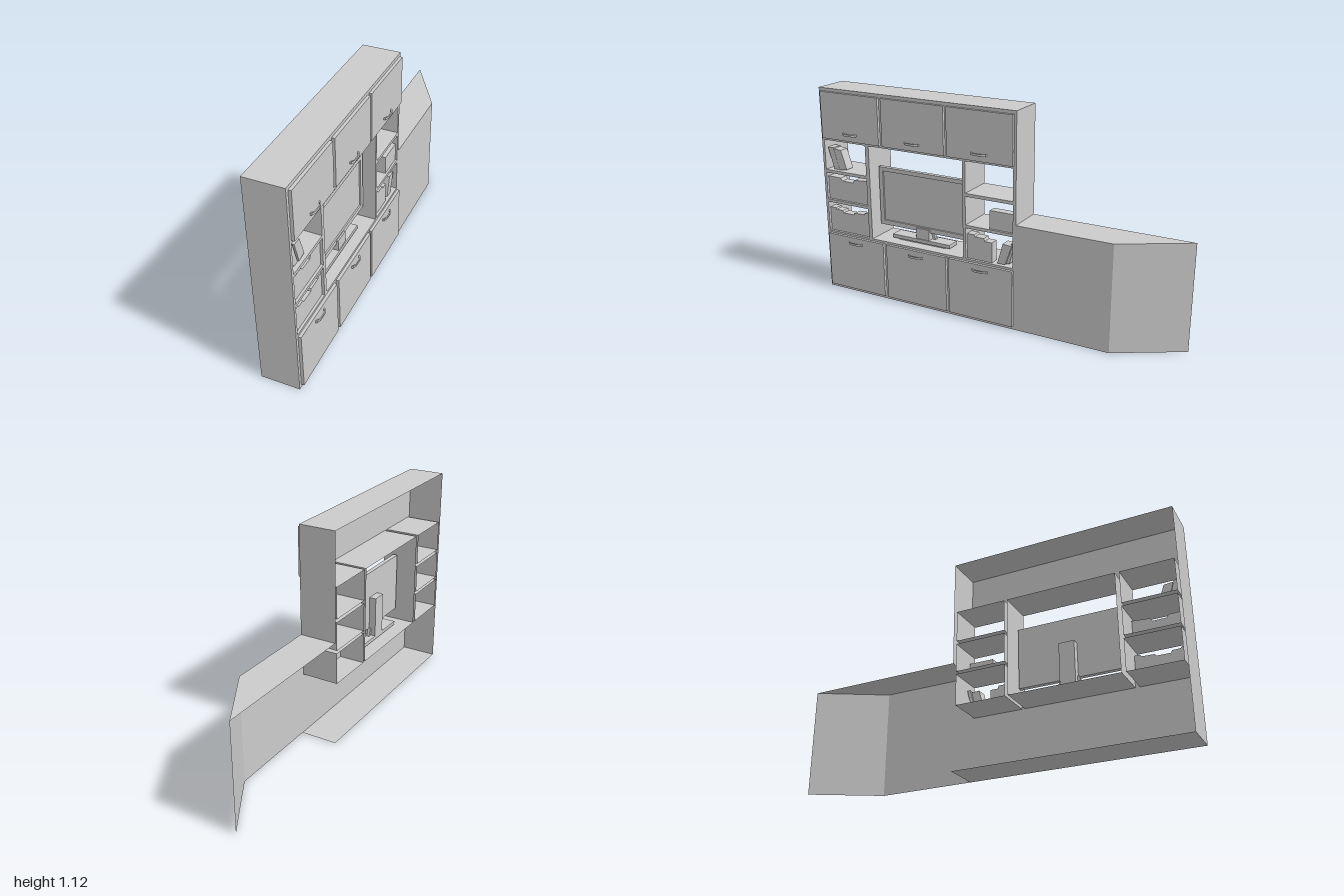
import * as THREE from 'three';

const BACK = -0.115, FRONT = 0.08, TOP = 1.125, WING = 0.56;

export function createModel() {
  const root = new THREE.Group();
  const solid = new THREE.MeshStandardMaterial({ color: 0xcccccc, flatShading: true });
  const thin = new THREE.MeshStandardMaterial({ color: 0xcccccc, flatShading: true, side: THREE.DoubleSide });

  const add = (name, geometry, material = solid) => {
    const mesh = new THREE.Mesh(geometry, material);
    mesh.name = name;
    root.add(mesh);
    return mesh;
  };
  // block given by its limits on each axis
  const block = (name, x0, x1, y0, y1, z0, z1) => {
    const g = new THREE.BoxGeometry(x1 - x0, y1 - y0, z1 - z0);
    g.translate((x0 + x1) / 2, (y0 + y1) / 2, (z0 + z1) / 2);
    return add(name, g);
  };
  // thin sheet through four corners
  const sheet = (name, ...corners) => {
    const g = new THREE.BufferGeometry();
    g.setAttribute('position', new THREE.Float32BufferAttribute(corners.flat(), 3));
    g.setIndex([0, 1, 2, 0, 2, 3]);
    g.computeVertexNormals();
    return add(name, g, thin);
  };
  // outlines are [z, y] pairs, seen from the door side
  const points = (zy) => zy.map(([z, y]) => new THREE.Vector2(-z, y));
  const profile = (name, x0, x1, zy) => {
    const g = new THREE.ExtrudeGeometry(new THREE.Shape(points(zy)), { depth: x1 - x0, bevelEnabled: false });
    g.rotateY(Math.PI / 2).translate(x0, 0, 0);
    return add(name, g);
  };

  // niches: [z low, z high, y low, y high]
  const rows = [[0.332, 0.497], [0.513, 0.663], [0.68, 0.845]];
  const niches = [[0.134, 0.698, 0.332, 0.845]];
  for (const [z0, z1] of [[0.72, 0.985], [-0.148, 0.118]])
    for (const [y0, y1] of rows) niches.push([z0, z1, y0, y1]);

  // front panel of cabinet and low wall, with an opening for each niche
  const face = new THREE.Shape(points([[1, 0], [-0.67, 0], [-0.67, WING], [-0.165, WING], [-0.165, TOP], [1, TOP]]));
  for (const [z0, z1, y0, y1] of niches)
    face.holes.push(new THREE.Path(points([[z0, y0], [z1, y0], [z1, y1], [z0, y1]])));
  add('frontPanel', new THREE.ShapeGeometry(face).rotateY(Math.PI / 2).translate(FRONT, 0, 0), thin);

  // four walls running back from each opening
  for (const [z0, z1, y0, y1] of niches) {
    const ring = [[z0, y0], [z1, y0], [z1, y1], [z0, y1]];
    ring.forEach(([z, y], i) => {
      const [zn, yn] = ring[(i + 1) % 4];
      sheet('nicheWall', [FRONT, y, z], [FRONT, yn, zn], [BACK, yn, zn], [BACK, y, z]);
    });
  }

  // cabinet shell
  for (const [name, y] of [['cabinetTop', TOP], ['cabinetFloor', 0]])
    sheet(name, [BACK, y, 1], [FRONT, y, 1], [FRONT, y, -0.165], [BACK, y, -0.165]);
  for (const [z, y] of [[1, 0], [-0.165, WING]])
    sheet('sidePanel', [BACK, y, z], [FRONT, y, z], [FRONT, TOP, z], [BACK, TOP, z]);

  // low wall: top and slanted end
  sheet('lowWallTop', [BACK, WING, -0.165], [FRONT, WING, -0.165], [FRONT, WING, -0.67], [BACK, WING, -1]);
  sheet('lowWallEnd', [FRONT, 0, -0.67], [BACK, 0, -1], [BACK, WING, -1], [FRONT, WING, -0.67]);

  // doors with curved handles
  const doors = [[0.62, 0.984, 0.803], [0.23, 0.6, 0.417], [-0.153, 0.214, 0.03]];
  for (const [y0, y1, yh] of [[0.018, 0.32, 0.288], [0.858, 1.108, 0.895]])
    for (const [z0, z1, zh] of doors) {
      block('door', FRONT, 0.095, y0, y1, z0, z1);
      const bow = [[0.095, -0.045], [0.103, -0.041], [0.111, -0.023], [0.111, 0.023], [0.103, 0.041], [0.095, 0.045],
        [0.095, 0.037], [0.1, 0.035], [0.106, 0.02], [0.106, -0.02], [0.1, -0.035], [0.095, -0.037]];
      const g = new THREE.ExtrudeGeometry(new THREE.Shape(bow.map(([x, z]) => new THREE.Vector2(x, z))),
        { depth: 0.011, bevelEnabled: false });
      g.rotateX(Math.PI / 2).translate(0, yh + 0.005, zh);
      add('handle', g);
    }

  // television: body, raised frame, tapered back and stand
  block('screenBody', -0.008, 0.008, 0.402, 0.722, 0.144, 0.684);
  const frame = new THREE.Shape(points([[0.684, 0.402], [0.144, 0.402], [0.144, 0.722], [0.684, 0.722]]));
  frame.holes.push(new THREE.Path(points([[0.66, 0.427], [0.66, 0.7], [0.168, 0.7], [0.168, 0.427]])));
  add('screenFrame', new THREE.ExtrudeGeometry(frame, { depth: 0.008, bevelEnabled: false })
    .rotateY(Math.PI / 2).translate(0.008, 0, 0));
  block('standPost', -0.045, -0.008, 0.345, 0.58, 0.373, 0.453);
  block('standNeck', -0.01, 0.025, 0.345, 0.42, 0.373, 0.453);
  block('standBase', -0.045, 0.03, 0.343, 0.362, 0.245, 0.6);
  block('standFoot', -0.03, 0.015, 0.332, 0.343, 0.28, 0.57);
  for (const s of [-1, 1])
    profile('standBrace', -0.02, -0.005, [[0.046, 0.362], [0.062, 0.362], [0.048, 0.405], [0.034, 0.405]]
      .map(([z, y]) => [0.413 + s * z, y]));

  // shelf contents
  profile('bookRow', 0.02, 0.068, [[0.983, 0.514], [0.722, 0.514], [0.722, 0.647], [0.81, 0.64], [0.82, 0.624],
    [0.89, 0.625], [0.9, 0.64], [0.983, 0.641]]);
  profile('bookRow', 0.02, 0.068, [[0.983, 0.333], [0.722, 0.333], [0.722, 0.465], [0.75, 0.465], [0.755, 0.455],
    [0.82, 0.453], [0.825, 0.443], [0.895, 0.443], [0.9, 0.455], [0.94, 0.456], [0.945, 0.464], [0.983, 0.464]]);
  profile('bookRow', 0.02, 0.068, [[0.116, 0.333], [-0.027, 0.333], [-0.027, 0.44], [0.015, 0.44], [0.02, 0.455],
    [0.07, 0.455], [0.075, 0.465], [0.116, 0.465]]);
  block('storageBox', 0.025, 0.07, 0.514, 0.61, -0.147, -0.015);
  profile('leaningBook', 0, 0.06, [[0.945, 0.682], [0.91, 0.682], [0.945, 0.8], [0.98, 0.8]]);
  profile('leaningBook', 0.01, 0.065, [[0.905, 0.682], [0.858, 0.69], [0.892, 0.793], [0.938, 0.797]]);
  profile('leaningBook', 0.01, 0.065, [[-0.055, 0.336], [-0.098, 0.336], [-0.135, 0.44], [-0.085, 0.445]]);
  profile('leaningBook', 0, 0.055, [[-0.1, 0.336], [-0.118, 0.34], [-0.146, 0.45], [-0.128, 0.45]]);
  return root;
}
